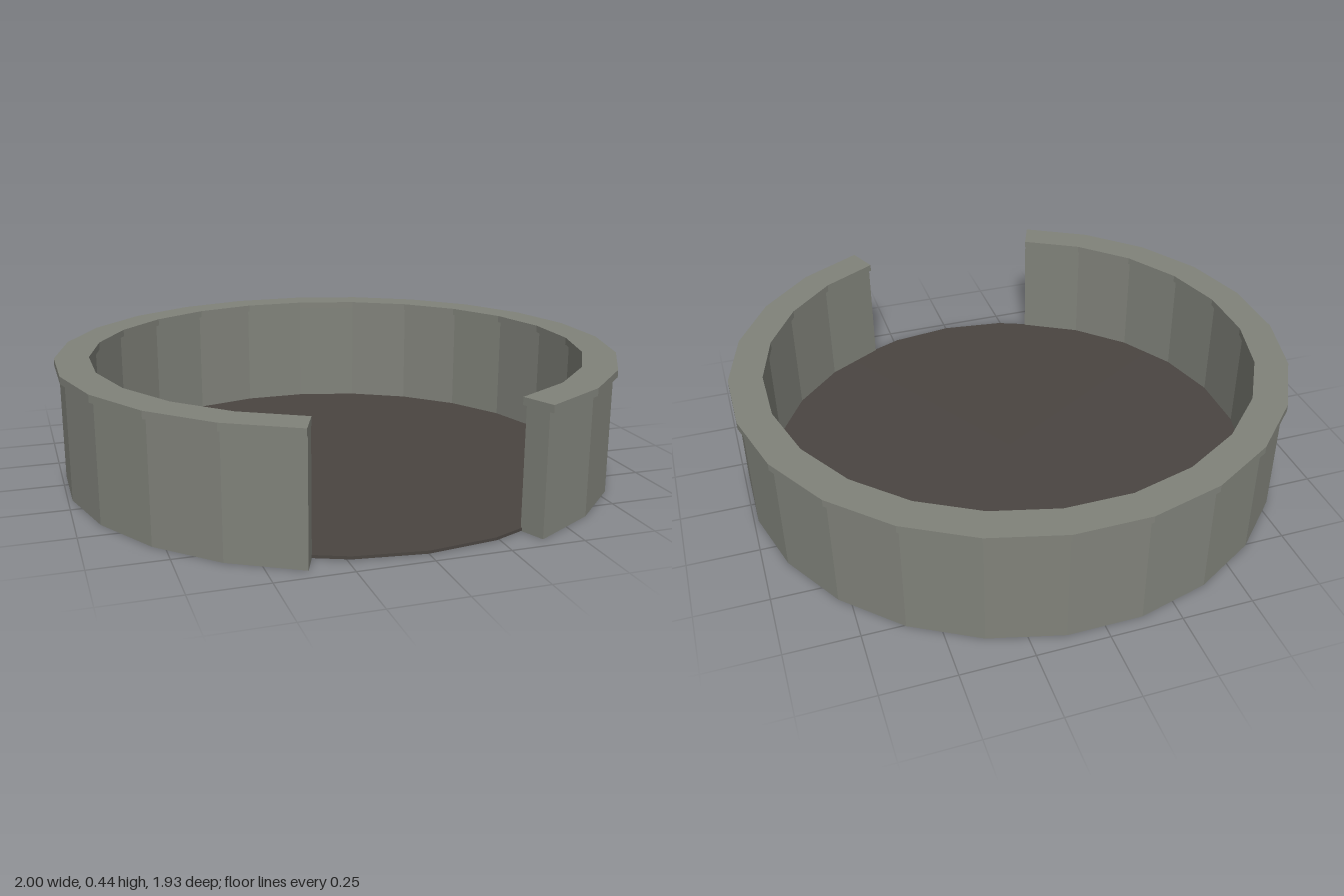
import * as THREE from 'three';

const SIDES = 24;
const GAP = 3;            // facets left open at the front
const CENTRE_Z = 0.034;

// Faceted ring with an opening towards +z
function openRing(name, inner, outer, y0, y1, material) {
  const step = (Math.PI * 2) / SIDES;
  const count = SIDES - GAP;
  const arc = (r) => Array.from({ length: count + 1 }, (_, i) => {
    const a = (GAP / 2 + i) * step;
    return new THREE.Vector2(r * Math.sin(a), -r * Math.cos(a));
  });
  const shape = new THREE.Shape([...arc(outer), ...arc(inner).reverse()]);
  const geometry = new THREE.ExtrudeGeometry(shape, { depth: y1 - y0, bevelEnabled: false });
  geometry.rotateX(-Math.PI / 2);
  const mesh = new THREE.Mesh(geometry, material);
  mesh.name = name;
  mesh.position.set(0, y0, CENTRE_Z);
  return mesh;
}

export function createModel() {
  const group = new THREE.Group();
  group.name = 'openRoundEnclosure';
  const stone = new THREE.MeshStandardMaterial({ color: 0x80827a, flatShading: true });
  const ground = new THREE.MeshStandardMaterial({ color: 0x4a4541, flatShading: true });

  // Wall and its overhanging cap
  group.add(openRing('wall', 0.903, 0.9935, 0, 0.412, stone));
  group.add(openRing('wallCap', 0.888, 1.0086, 0.412, 0.438, stone));

  // Thin floor disc, its corners turned half a facet against the wall
  const floor = new THREE.Mesh(new THREE.CylinderGeometry(0.916, 0.916, 0.01, SIDES), ground);
  floor.name = 'floor';
  floor.position.set(0, 0.007, CENTRE_Z);
  group.add(floor);

  return group;
}
